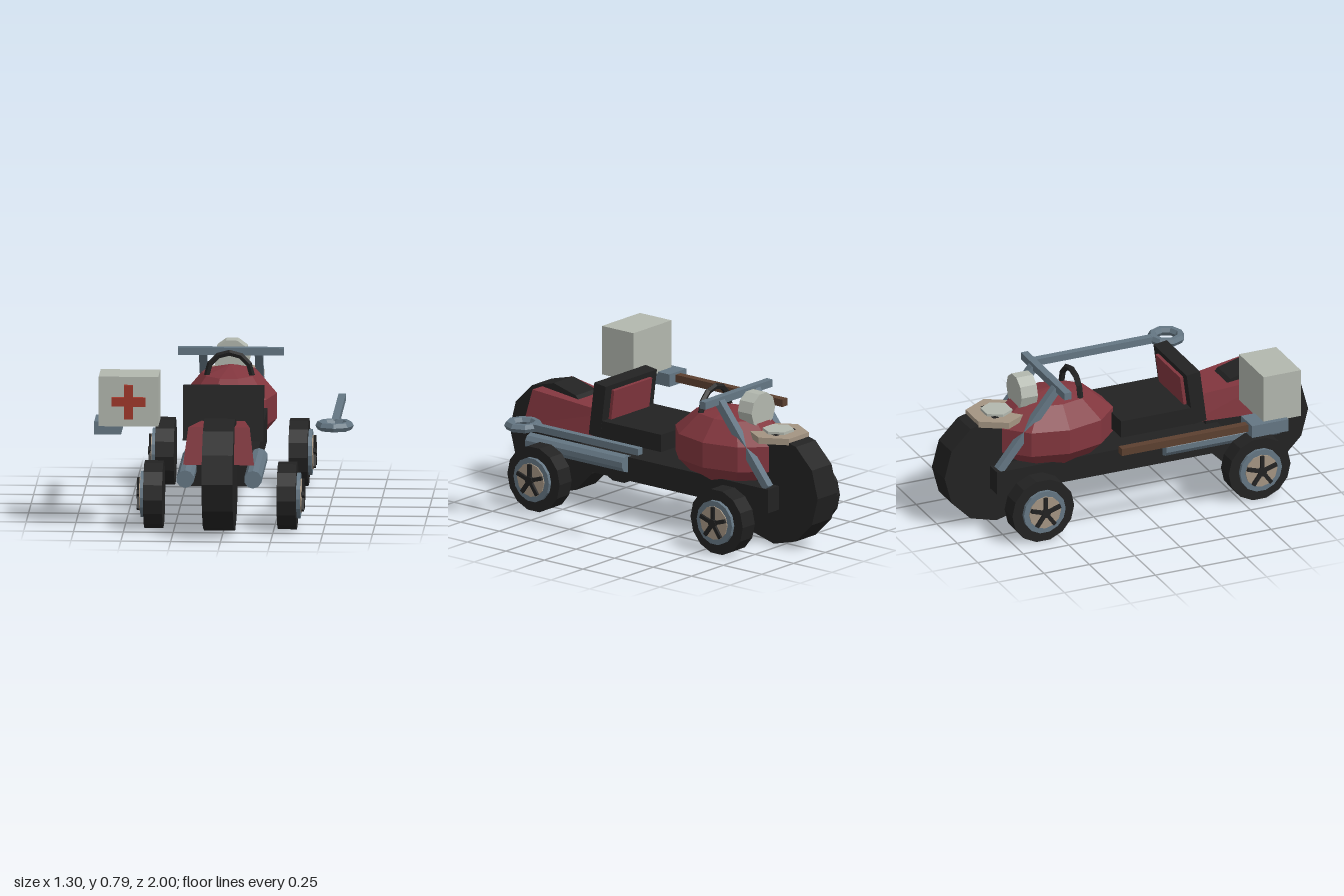
import * as THREE from 'three';

const mat = (name, color) => {
  const m = new THREE.MeshStandardMaterial({ color });
  m.name = name;
  return m;
};

export function createModel() {
  const black = mat('black', 0x222222), red = mat('darkRed', 0x82363e), slate = mat('slate', 0x647683);
  const white = mat('offWhite', 0xb2b7ae), tan = mat('tan', 0xa39482), brown = mat('brown', 0x5c4030);
  const crossRed = mat('brightRed', 0xa0372b);
  const model = new THREE.Group();
  model.name = 'kart';
  const CX = -0.018; // centre line of the vehicle

  // Adds a faceted mesh
  const add = (name, geo, material, x = 0, y = 0, z = 0, parent = model) => {
    const g = geo.index ? geo.toNonIndexed() : geo;
    g.computeVertexNormals();
    const mesh = new THREE.Mesh(g, material);
    mesh.name = name;
    mesh.position.set(x, y, z);
    parent.add(mesh);
    return mesh;
  };
  // Box given by its limits on each axis
  const box = (name, material, x0, x1, y0, y1, z0, z1, parent) =>
    add(name, new THREE.BoxGeometry(x1 - x0, y1 - y0, z1 - z0), material,
      (x0 + x1) / 2, (y0 + y1) / 2, (z0 + z1) / 2, parent);
  const discX = (r, w, n) => new THREE.CylinderGeometry(r, r, w, n).rotateZ(Math.PI / 2);

  // Large centre wheels
  for (const s of [1, -1]) {
    add(s > 0 ? 'rearCentreWheel' : 'frontCentreWheel', discX(0.285, 0.155, 12), black, CX, 0.295, s * 0.715);
  }

  // Four side wheels with rim, hub plate and five spokes
  for (const side of [1, -1]) {
    for (const z of [0.595, -0.595]) {
      const wheel = new THREE.Group();
      wheel.name = 'sideWheel';
      wheel.position.set(CX + side * 0.335, 0.17, z);
      add('tyre', discX(0.17, 0.095, 14), black, 0, 0, 0, wheel);
      add('rim', discX(0.115, 0.02, 14), slate, side * 0.056, 0, 0, wheel);
      add('hubPlate', discX(0.087, 0.008, 12), tan, side * 0.068, 0, 0, wheel);
      add('hubCap', discX(0.024, 0.018, 8), black, side * 0.079, 0, 0, wheel);
      for (let i = 0; i < 5; i++) {
        const spoke = new THREE.BoxGeometry(0.014, 0.082, 0.02).translate(0, 0.043, 0).rotateX((i * Math.PI * 2) / 5);
        add('spoke', spoke, black, side * 0.078, 0, 0, wheel);
      }
      model.add(wheel);
    }
  }

  // Chassis, side pipes and seat
  box('chassis', black, CX - 0.165, CX + 0.165, 0.195, 0.318, -0.75, 0.5);
  for (const s of [1, -1]) {
    const pipe = new THREE.CylinderGeometry(0.045, 0.045, 0.63, 10).rotateX(Math.PI / 2);
    add('sidePipe', pipe, slate, CX + s * 0.17, 0.284, 0.475);
  }
  box('seatCushion', black, -0.22, 0.183, 0.398, 0.488, -0.085, 0.33);
  const back = new THREE.Group();
  back.name = 'seatBack';
  back.position.set(CX, 0.4, 0.348);
  back.rotation.x = -0.13;
  box('backrest', black, -0.202, 0.202, 0, 0.278, -0.037, 0.037, back);
  box('backPad', red, -0.15, 0.15, 0.05, 0.25, -0.054, -0.037, back);
  model.add(back);

  // Tail body: box tapered towards the seat and towards the top
  const tail = new THREE.BoxGeometry(1, 1, 1);
  const p = tail.attributes.position;
  for (let i = 0; i < p.count; i++) {
    const top = p.getY(i) > 0, rear = p.getZ(i) > 0;
    const half = rear ? (top ? 0.154 : 0.178) : (top ? 0.105 : 0.125);
    p.setXYZ(i, Math.sign(p.getX(i)) * half,
      top ? (rear ? 0.55 : 0.5) : 0.365,
      rear ? (top ? 0.79 : 0.83) : 0.33);
  }
  add('tailBody', tail, red, CX);

  // Tank and grab handle
  add('tank', new THREE.SphereGeometry(1, 10, 5).scale(0.245, 0.21, 0.343), red, CX, 0.445, -0.38);
  add('grabHandle', new THREE.TorusGeometry(0.112, 0.016, 5, 6, Math.PI), black, CX, 0.62, -0.27);

  // Fork legs and handlebar
  box('handlebar', slate, -0.283, 0.248, 0.698, 0.736, -0.425, -0.387);
  const a = new THREE.Vector3(0, 0.71, -0.415), b = new THREE.Vector3(0, 0.32, -0.73);
  for (const s of [1, -1]) {
    const leg = new THREE.BoxGeometry(0.04, a.distanceTo(b), 0.04).rotateX(Math.atan2(a.z - b.z, a.y - b.y));
    add('forkLeg', leg, slate, CX + s * 0.14, (a.y + b.y) / 2, (a.z + b.z) / 2);
  }

  // Headlamp drum and front plate
  add('headlamp', new THREE.CylinderGeometry(0.093, 0.093, 0.09, 10).rotateX(Math.PI / 2).rotateZ(Math.PI / 2),
    white, CX, 0.664, -0.538);
  const hex = (r, h) => new THREE.CylinderGeometry(r, r, h, 6).rotateY(Math.PI / 2);
  add('frontPlate', hex(0.155, 0.033), tan, CX, 0.559, -0.68);
  add('frontPlateCap', hex(0.08, 0.014), white, CX, 0.582, -0.68);

  // Wrench on the left
  box('wrenchShaft', slate, 0.53, 0.567, 0.498, 0.533, -0.25, 0.455);
  add('wrenchRing', new THREE.TorusGeometry(0.073, 0.024, 6, 8).rotateX(Math.PI / 2), slate, 0.548, 0.513, 0.51);

  // Hammer and aid box on the right
  box('hammerHandle', brown, -0.605, -0.565, 0.495, 0.533, -0.255, 0.45);
  box('hammerHead', slate, -0.652, -0.517, 0.48, 0.545, 0.44, 0.64);
  box('aidBox', white, -0.625, -0.326, 0.537, 0.79, 0.515, 0.72);
  box('crossUpright', crossRed, -0.498, -0.452, 0.578, 0.75, 0.722, 0.744);
  for (const x of [-0.56, -0.452]) box('crossArm', crossRed, x, x + 0.062, 0.642, 0.687, 0.722, 0.744);

  return model;
}
